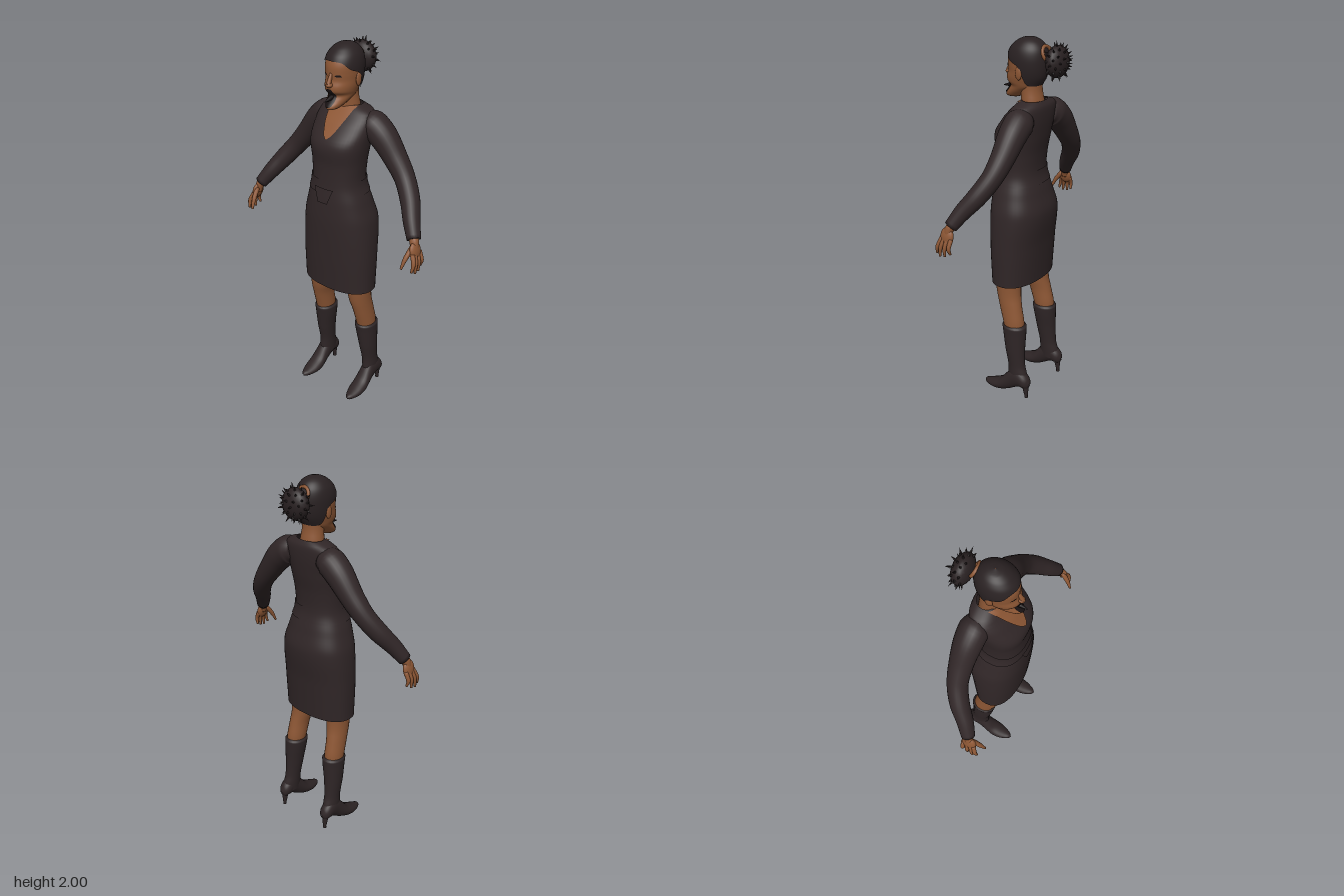
import * as THREE from 'three';

const V = (x, y, z) => new THREE.Vector3(x, y, z);
const material = (name, color, side = THREE.FrontSide) => {
  const m = new THREE.MeshStandardMaterial({ color, side });
  m.name = name;
  return m;
};

// Smooth lookup in a table whose first column is the key
function lookup(table, key) {
  const k = Math.min(Math.max(key, table[0][0]), table[table.length - 1][0]);
  let i = 0;
  while (i < table.length - 2 && k > table[i + 1][0]) i++;
  const a = table[i], b = table[i + 1], p = table[i - 1] || a, n = table[i + 2] || b;
  const h = b[0] - a[0], t = (k - a[0]) / h;
  return a.map((v, c) => {
    const m0 = h * (b[c] - p[c]) / (b[0] - p[0]) * 0.9, m1 = h * (n[c] - v) / (n[0] - a[0]) * 0.9;
    return v * (2 * t ** 3 - 3 * t * t + 1) + m0 * (t ** 3 - 2 * t * t + t)
      + b[c] * (3 * t * t - 2 * t ** 3) + m1 * (t ** 3 - t * t);
  });
}

// Surface through rows of points
function grid(rows, closed) {
  const n = rows[0].length, pos = [], idx = [];
  rows.forEach(r => r.forEach(p => pos.push(p.x, p.y, p.z)));
  for (let i = 0; i < rows.length - 1; i++)
    for (let j = 0; j < (closed ? n : n - 1); j++) {
      const a = i * n + j, b = i * n + (j + 1) % n;
      idx.push(a, b, a + n, b, b + n, a + n);
    }
  const g = new THREE.BufferGeometry();
  g.setAttribute('position', new THREE.Float32BufferAttribute(pos, 3));
  g.setIndex(idx);
  g.computeVertexNormals();
  return g;
}

// Point on a body whose sections are [y, centre x, half width, front z, back z]
function onBody(table, y, t, grow = 0, power = 2) {
  const [, cx, w, zf, zb] = lookup(table, y);
  const sq = v => Math.sign(v) * Math.abs(v) ** (2 / power);
  return V(cx + (w + grow) * sq(Math.sin(t)), y, (zf + zb) / 2 + ((zf - zb) / 2 + grow) * sq(Math.cos(t)));
}
function body(table, { rows = 40, n = 32, grow = 0, power = 2, from = table[0][0], to = table[table.length - 1][0] } = {}) {
  const list = [];
  for (let i = 0; i <= rows; i++) {
    const y = from + (to - from) * i / rows;
    list.push(Array.from({ length: n }, (_, j) => onBody(table, y, j / n * Math.PI * 2, grow, power)));
  }
  return grid(list, true);
}

// Thin patch lying on the front of a body
function patch(table, y0, y1, cx, half, lift, power = 2) {
  const rows = [];
  for (let i = 0; i <= 12; i++) {
    const s = i / 12, y = y0 + (y1 - y0) * s, [, bx, w, zf, zb] = lookup(table, y), row = [];
    for (let j = 0; j <= 12; j++) {
      const x = cx + (j / 6 - 1) * half(s), u = Math.min(1, Math.abs(x - bx) / w);
      row.push(V(x, y + lift * 0.4, (zf + zb) / 2 + (zf - zb) / 2 * (1 - u ** power) ** (1 / power) + lift));
    }
    rows.push(row);
  }
  return grid(rows, false);
}

// Capped round limb through points [x, y, z, radius], mirrored by s
function limb(pts, s = 1, steps = 20, n = 16) {
  const curve = new THREE.CatmullRomCurve3(pts.map(p => V(p[0] * s, p[1], p[2])));
  const rows = [];
  for (let i = 0; i <= steps; i++) {
    const t = i / steps, f = t * (pts.length - 1), k = Math.min(pts.length - 2, Math.floor(f));
    const r = THREE.MathUtils.lerp(pts[k][3], pts[k + 1][3], f - k);
    const c = curve.getPoint(t), d = curve.getTangent(t);
    const a = V(0, 0, 1).cross(d).normalize(), b = d.clone().cross(a);
    const ring = q => Array.from({ length: n }, (_, j) => {
      const th = j / n * Math.PI * 2;
      return c.clone().addScaledVector(a, q * Math.cos(th)).addScaledVector(b, q * Math.sin(th));
    });
    if (i === 0) rows.push(ring(0));
    rows.push(ring(r));
    if (i === steps) rows.push(ring(0));
  }
  return grid(rows, true);
}

const TORSO = [[0.69, 0, 0.213, 0.175, -0.07], [0.9, 0, 0.215, 0.185, -0.088], [1.09, 0, 0.205, 0.19, -0.11],
  [1.2, 0, 0.175, 0.185, -0.085], [1.3, 0, 0.143, 0.175, -0.06], [1.4, 0, 0.144, 0.172, -0.065],
  [1.51, 0, 0.158, 0.175, -0.085], [1.6, 0, 0.165, 0.112, -0.097], [1.66, 0, 0.15, 0.055, -0.098],
  [1.682, 0, 0.11, 0.035, -0.09], [1.69, 0, 0.075, 0.025, -0.08]];
const HEAD = [[1.685, 0, 0.005, 0.125, 0.09], [1.69, 0, 0.025, 0.142, 0.07], [1.705, 0, 0.04, 0.143, 0.03],
  [1.73, 0, 0.055, 0.122, -0.01], [1.755, 0, 0.066, 0.108, -0.05], [1.775, 0, 0.073, 0.128, -0.065],
  [1.8, 0, 0.079, 0.13, -0.08], [1.83, 0, 0.083, 0.12, -0.088], [1.86, 0, 0.086, 0.12, -0.092],
  [1.9, 0, 0.087, 0.118, -0.093], [1.94, 0, 0.079, 0.102, -0.086], [1.97, 0, 0.06, 0.074, -0.066],
  [1.99, 0, 0.032, 0.038, -0.034], [1.996, 0, 0.001, 0.003, -0.001]];
const HAIRLINE = [[0, 1.925], [0.6, 1.92], [1.1, 1.885], [1.6, 1.86], [1.9, 1.8], [2.2, 1.768], [Math.PI, 1.765]];

export function createModel() {
  const model = new THREE.Group();
  const skin = material('skin', 0x8c5634);
  const cloth = material('dark cloth', 0x302627, THREE.DoubleSide);
  const leather = material('boot leather', 0x2e2526);
  const hair = material('hair', 0x292122);
  const dark = material('mouth and lashes', 0x171112, THREE.DoubleSide);
  const add = (name, geometry, mat) => {
    const m = new THREE.Mesh(geometry, mat);
    m.name = name;
    model.add(m);
    return m;
  };
  const ball = (name, mat, p, r) => {
    const m = add(name, new THREE.SphereGeometry(1, 20, 14), mat);
    m.position.set(...p);
    m.scale.set(...r);
    return m;
  };

  // Dress, neckline and waist sash
  add('dress', body(TORSO, { rows: 60, n: 48, power: 2.3 }), cloth);
  add('neckline', patch(TORSO, 1.54, 1.688, 0, s => 0.002 + 0.076 * s ** 0.6, 0.005, 2.3), skin);
  add('sash', body(TORSO, { rows: 6, n: 48, power: 2.3, grow: 0.005, from: 1.25, to: 1.325 }), cloth);
  add('sashKnot', patch(TORSO, 1.2, 1.28, 0, s => 0.03 + 0.03 * s, 0.012, 2.3), cloth);

  // Neck and head
  add('neck', body([[1.6, 0, 0.07, 0.045, -0.08], [1.68, 0, 0.064, 0.042, -0.072],
    [1.74, 0, 0.057, 0.045, -0.062], [1.82, 0, 0.058, 0.05, -0.065]], { rows: 12 }), skin);
  add('head', body(HEAD, { rows: 56, n: 40 }), skin);
  ball('noseTip', skin, [0, 1.812, 0.132], [0.018, 0.013, 0.018]);
  add('noseBridge', limb([[0, 1.865, 0.114, 0.008], [0, 1.84, 0.126, 0.01], [0, 1.815, 0.137, 0.012]]), skin);
  add('mouth', patch(HEAD, 1.7, 1.79, 0, s => 0.01 + 0.016 * Math.sin(Math.PI * s) ** 0.5, 0.005), dark);
  add('tongue', limb([[0, 1.75, 0.09, 0.016], [0, 1.742, 0.13, 0.01], [0, 1.735, 0.165, 0.002]]), dark);
  for (const s of [1, -1]) {
    add('eye', patch(HEAD, 1.852, 1.861, s * 0.038, t => 0.017 - 0.008 * t, 0.003), dark);
    ball('ear', skin, [s * 0.086, 1.83, 0.012], [0.009, 0.034, 0.019]);
  }

  // Hair swept back from the hairline
  const cap = [];
  for (let i = 0; i <= 24; i++)
    cap.push(Array.from({ length: 64 }, (_, j) => {
      const t = j / 64 * Math.PI * 2, h = lookup(HAIRLINE, Math.min(t, Math.PI * 2 - t))[1];
      const y = h + (1.996 - h) * Math.sin(i / 24 * Math.PI / 2);
      const p = onBody(HEAD, y, t, 0.006 * Math.cos(i / 24 * Math.PI / 2));
      p.y += 0.004 * i / 24;
      return p;
    }));
  add('hair', grid(cap, true), hair);

  // Hair band and spiky bun
  const band = add('hairBand', new THREE.TorusGeometry(0.036, 0.009, 8, 24), skin);
  band.position.set(-0.01, 1.925, -0.092);
  band.rotation.x = 0.35;
  const centre = V(-0.018, 1.89, -0.148);
  ball('bun', hair, centre.toArray(), [0.08, 0.08, 0.05]);
  for (let i = 0; i < 60; i++) {
    const c = 1 - 2 * (i + 0.5) / 60, a = i * 2.39996, q = Math.sqrt(1 - c * c);
    const d = V(q * Math.cos(a), q * Math.sin(a), c);
    if (d.z > 0.45) continue;
    const length = 0.03 + 0.012 * (i % 3);
    const spike = add('bunSpike', new THREE.ConeGeometry(0.012, length, 5), hair);
    spike.position.copy(centre).add(V(d.x * 0.08, d.y * 0.08, d.z * 0.05));
    spike.quaternion.setFromUnitVectors(V(0, 1, 0), d);
  }

  for (const s of [1, -1]) {
    // Sleeve
    add('sleeve', limb([[0.1, 1.605, -0.03, 0.06], [0.145, 1.595, -0.033, 0.077], [0.205, 1.55, -0.036, 0.073],
      [0.285, 1.455, -0.034, 0.061], [0.355, 1.37, -0.02, 0.053], [0.42, 1.285, 0.022, 0.05],
      [0.47, 1.21, 0.075, 0.043], [0.515, 1.14, 0.115, 0.035]], s, 36, 24), cloth);

    // Hand
    add('wrist', limb([[0.5, 1.165, 0.1, 0.024], [0.52, 1.13, 0.118, 0.024], [0.53, 1.09, 0.125, 0.02]], s), skin);
    const palm = ball('palm', skin, [s * 0.533, 1.09, 0.127], [0.019, 0.047, 0.039]);
    palm.rotation.z = s * 0.2;
    [[0.098, 0.098, 1.003, 0.548], [0.118, 0.128, 0.987, 0.556], [0.138, 0.157, 0.983, 0.558], [0.155, 0.18, 0.995, 0.552]]
      .forEach(([z0, z1, y, x]) => add('finger', limb([[0.538, 1.08, z0, 0.012],
        [0.556, 1.035, (z0 + z1) / 2 + 0.003, 0.011], [x, y, z1, 0.006]], s, 8, 10), skin));
    add('thumb', limb([[0.524, 1.11, 0.14, 0.014], [0.514, 1.06, 0.18, 0.012], [0.506, 1.01, 0.204, 0.006]], s, 8, 10), skin);

    // Leg
    add('leg', body([[0.4, s * 0.148, 0.046, 0.055, -0.05], [0.46, s * 0.146, 0.05, 0.072, -0.052],
      [0.55, s * 0.142, 0.05, 0.098, -0.035], [0.62, s * 0.134, 0.056, 0.118, -0.022],
      [0.7, s * 0.13, 0.062, 0.13, -0.022], [0.9, s * 0.115, 0.08, 0.14, -0.05]], { rows: 24, n: 24 }), skin);

    // Boot shaft with rim
    add('bootShaft', body([[0.1, s * 0.16, 0.037, 0.04, -0.092], [0.15, s * 0.158, 0.038, 0.036, -0.08],
      [0.2, s * 0.156, 0.039, 0.036, -0.066], [0.3, s * 0.153, 0.048, 0.055, -0.062],
      [0.4, s * 0.147, 0.057, 0.07, -0.064], [0.44, s * 0.146, 0.059, 0.076, -0.065],
      [0.45, s * 0.146, 0.056, 0.073, -0.062], [0.451, s * 0.146, 0.044, 0.06, -0.05]], { rows: 40, n: 24 }), leather);

    // Pointed foot: [z, half width, bottom, top]
    const foot = [[-0.106, 0.002, 0.095, 0.1], [-0.1, 0.02, 0.075, 0.125], [-0.08, 0.034, 0.066, 0.15],
      [-0.04, 0.038, 0.064, 0.18], [0, 0.038, 0.042, 0.18], [0.035, 0.041, 0.022, 0.14], [0.08, 0.046, 0.008, 0.088],
      [0.125, 0.043, 0.005, 0.062], [0.165, 0.03, 0.008, 0.046], [0.19, 0.016, 0.013, 0.038], [0.2, 0.002, 0.02, 0.028]];
    const rows = [];
    for (let i = 0; i <= 36; i++) {
      const [z, w, lo, hi] = lookup(foot, -0.106 + 0.306 * i / 36);
      rows.push(Array.from({ length: 24 }, (_, j) => {
        const t = j / 24 * Math.PI * 2;
        return V(s * (0.162 + 0.02 * Math.max(0, z)) + w * Math.cos(t), (lo + hi) / 2 + (hi - lo) / 2 * Math.sin(t), z);
      }));
    }
    add('bootFoot', grid(rows, true), leather);
    const heel = add('bootHeel', new THREE.CylinderGeometry(0.022, 0.009, 0.085, 12), leather);
    heel.position.set(s * 0.162, 0.055, -0.08);
    heel.rotation.x = 0.08;
    const tip = add('heelTip', new THREE.CylinderGeometry(0.009, 0.01, 0.014, 12), leather);
    tip.position.set(s * 0.162, 0.012, -0.083);
  }

  return model;
}
